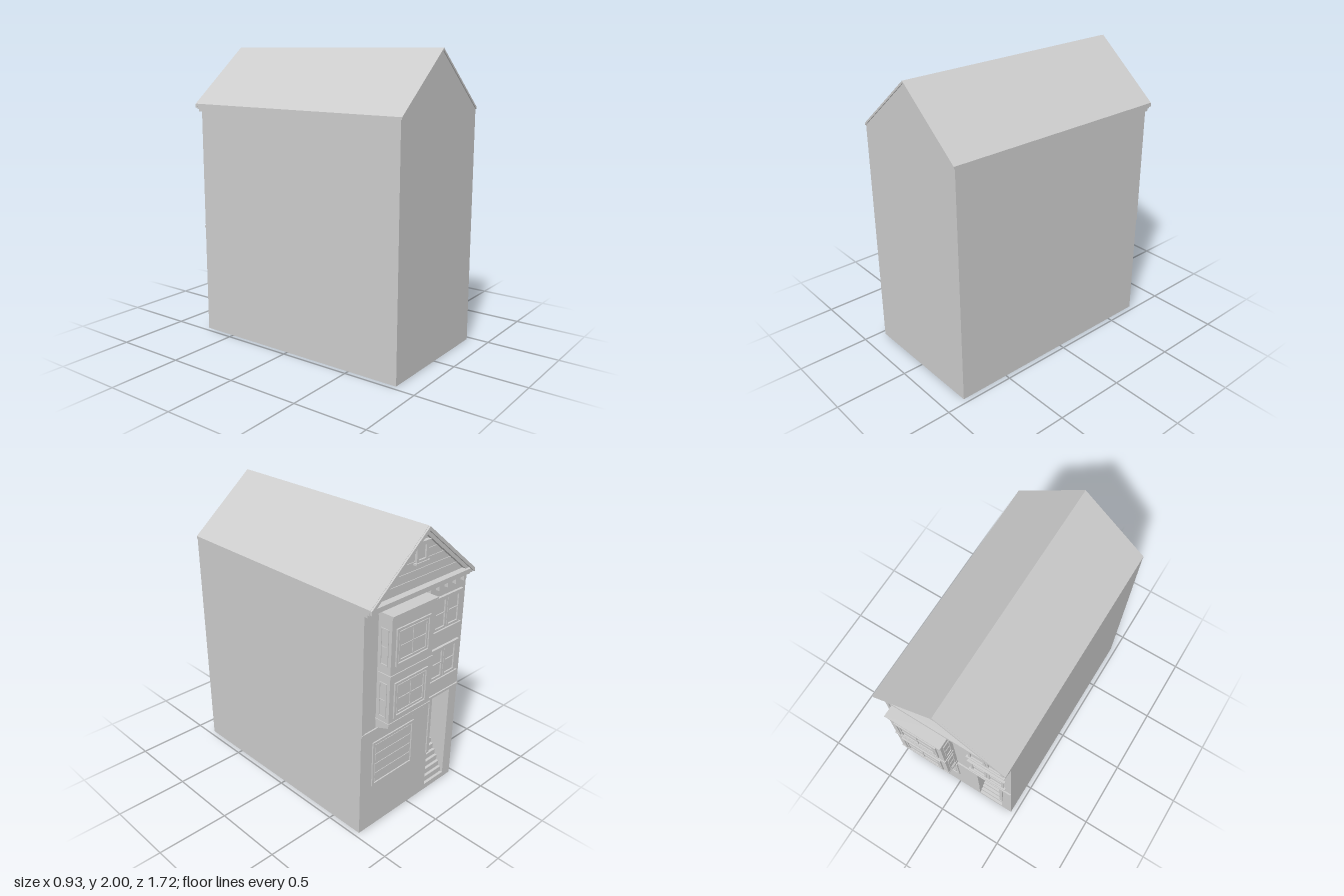
import * as THREE from 'three';

const plaster = new THREE.MeshStandardMaterial({ color: 0xcccccc, side: THREE.DoubleSide });
plaster.name = 'plain grey';

const W = 0.465, WALL = -0.74, FRONT = 0.855;

function add(parent, name, geo) {
  const m = new THREE.Mesh(geo, plaster);
  m.name = name;
  parent.add(m);
  return m;
}

// box from its limits on each axis
function box(parent, name, x0, x1, y0, y1, z0, z1) {
  const m = add(parent, name, new THREE.BoxGeometry(x1 - x0, y1 - y0, z1 - z0));
  m.position.set((x0 + x1) / 2, (y0 + y1) / 2, (z0 + z1) / 2);
  return m;
}

const polygon = pts => new THREE.Shape(pts.map(p => new THREE.Vector2(p[0], p[1])));

// flat outline pulled from z0 to z1
function slab(parent, name, pts, z0, z1) {
  const m = add(parent, name, new THREE.ExtrudeGeometry(polygon(pts), { depth: z1 - z0, bevelEnabled: false }));
  m.position.z = z0;
  return m;
}

// inverted V following the roof pitch; drop lowers it, t is its thickness
const chevron = (drop, t, w = W) => {
  const e = 2 - drop - 0.38 * w / W, p = 2 - drop;
  return [[-w, e], [0, p], [w, e], [w, e - t], [0, p - t], [-w, e - t]];
};

// framed window facing local +z, centred on its origin
function makeWindow(parent, name, w, h, cols, rows, bar, depth) {
  const g = new THREE.Group();
  g.name = name;
  parent.add(g);
  for (const s of [-1, 1]) {
    const x = s * (w - bar) / 2, y = s * (h - bar) / 2;
    box(g, 'frameSide', x - bar / 2, x + bar / 2, -h / 2, h / 2, 0, depth);
    box(g, 'frameRail', -w / 2, w / 2, y - bar / 2, y + bar / 2, 0, depth);
  }
  const b = bar * 0.25;
  for (let i = 1; i < cols; i++) {
    const x = -w / 2 + w * i / cols;
    box(g, 'mullion', x - b, x + b, -h / 2, h / 2, 0, depth * 0.7);
  }
  for (let i = 1; i < rows; i++) {
    const y = -h / 2 + h * i / rows;
    box(g, 'glazingBar', -w / 2, w / 2, y - b, y + b, 0, depth * 0.7);
  }
  return g;
}

function facadeWindow(parent, name, x, y, z, ...rest) {
  const g = makeWindow(parent, name, ...rest);
  g.position.set(x, y, z);
  g.rotation.y = Math.PI;
  return g;
}

function buildShell(root) {
  const gable = [[-W, 0], [W, 0], [W, 1.61], [0, 1.985], [-W, 1.61]];
  add(root, 'plainGableWall', new THREE.ShapeGeometry(polygon(gable))).position.z = FRONT;

  // street wall with the stair opening
  const shape = polygon(gable);
  shape.holes.push(new THREE.Path([[-0.385, 0.04], [-0.385, 0.74], [-0.185, 0.74], [-0.185, 0.04]]
    .map(p => new THREE.Vector2(...p))));
  const geo = new THREE.ShapeGeometry(shape);
  geo.scale(-1, 1, 1);
  const wall = add(root, 'streetWall', geo);
  wall.rotation.y = Math.PI;
  wall.position.z = WALL;

  for (const s of [-1, 1]) {
    const side = add(root, 'sideWall', new THREE.PlaneGeometry(FRONT - WALL, 1.61));
    side.position.set(s * W, 0.805, (FRONT + WALL) / 2);
    side.rotation.y = s * Math.PI / 2;
  }

  // roof and its rake boards
  slab(root, 'roof', chevron(0, 0.016), -0.79, 0.862);
  slab(root, 'rakeBoard', chevron(0.002, 0.026), -0.802, -0.788);
  slab(root, 'rakeMoulding', chevron(0.016, 0.03, 0.455), -0.765, WALL);
}

function buildGable(root) {
  // clapboard lips in the gable
  for (let i = 0; i < 4; i++) {
    const y = 1.665 + i * 0.055, w = 0.45 * (1.955 - y) / 0.37;
    box(root, 'clapboardLip', -w, w, y, y + 0.006, WALL - 0.005, WALL);
  }
  box(root, 'atticPane', -0.05, 0.05, 1.775, 1.885, WALL - 0.006, WALL);
  facadeWindow(root, 'atticWindow', 0, 1.83, WALL, 0.1, 0.12, 1, 1, 0.018, 0.018);
  box(root, 'atticSill', -0.062, 0.062, 1.762, 1.774, WALL - 0.025, WALL);
  box(root, 'atticHeader', -0.062, 0.062, 1.885, 1.9, WALL - 0.025, WALL);

  // cornice with brackets beside the bay
  box(root, 'cornice', -W, W, 1.585, 1.612, -0.785, WALL);
  box(root, 'corniceBed', -W, W, 1.568, 1.585, -0.768, WALL);
  for (let i = 0; i < 5; i++) {
    const x = -0.1 - i * 0.08;
    box(root, 'corniceBracket', x - 0.012, x + 0.012, 1.535, 1.57, -0.766, WALL);
  }
  box(root, 'cornerBoard', 0.44, W, 0.765, 1.57, WALL - 0.006, WALL);
  box(root, 'beltCourse', -W, W, 0.748, 0.765, WALL - 0.01, WALL);
}

function buildBay(root) {
  const g = new THREE.Group();
  g.name = 'bay';
  root.add(g);
  const x0 = -0.035, x1 = 0.34, zf = -0.845, cx = (x0 + x1) / 2;
  box(g, 'bayBody', x0, x1, 0.815, 1.56, zf, WALL);
  box(g, 'bayRoof', x0 - 0.01, x1 + 0.01, 1.556, 1.568, -0.86, WALL);
  box(g, 'bayFrieze', x0 - 0.004, x1 + 0.004, 1.54, 1.556, zf - 0.005, WALL);
  box(g, 'bayBaseBand', x0 - 0.004, x1 + 0.004, 0.828, 0.842, zf - 0.005, WALL);
  box(g, 'bayMiddleBand', x0 - 0.005, x1 + 0.005, 1.155, 1.175, zf - 0.006, -0.752);
  for (const y of [0.992, 1.35]) {
    facadeWindow(g, 'bayFrontWindow', cx, y, zf, 0.3, 0.245, 1, 1, 0.016, 0.01);
    facadeWindow(g, 'bayFrontSash', cx, y, zf, 0.255, 0.2, 2, 2, 0.014, 0.007);
    for (const s of [-1, 1]) {
      const w = makeWindow(g, 'baySideWindow', 0.062, 0.24, 1, 2, 0.008, 0.005);
      w.position.set(s > 0 ? x1 : x0, y, -0.792);
      w.rotation.y = s * Math.PI / 2;
    }
  }
  // tapered corbels carrying the bay
  for (let i = 0; i < 4; i++) {
    const geo = new THREE.ExtrudeGeometry(polygon([[0.74, 0.77], [0.845, 0.81], [0.845, 0.816], [0.74, 0.816]]),
      { depth: 0.04, bevelEnabled: false });
    const c = add(g, 'corbel', geo);
    c.rotation.y = Math.PI / 2;
    c.position.x = x0 + i * (x1 - x0 - 0.04) / 3;
  }
}

function buildSideWindows(root) {
  for (const y of [0.995, 1.355]) {
    box(root, 'windowHeader', -0.425, -0.14, y + 0.108, y + 0.124, WALL - 0.018, WALL);
    box(root, 'windowSill', -0.425, -0.14, y - 0.124, y - 0.108, WALL - 0.02, WALL);
    for (const x of [-0.348, -0.217])
      facadeWindow(root, 'sashWindow', x, y, WALL, 0.127, 0.22, 1, 2, 0.018, 0.01);
  }
}

function buildGroundFloor(root) {
  // garage door: surround and four panels
  facadeWindow(root, 'garageSurround', 0.17, 0.495, WALL, 0.385, 0.335, 1, 1, 0.018, 0.009);
  for (let i = 0; i < 4; i++) {
    const y = 0.352 + i * 0.073;
    box(root, 'garagePanel', 0.005, 0.335, y, y + 0.065, WALL - 0.004, WALL);
  }

  // stair recess
  const a = -0.385, b = -0.185, back = -0.6, t = 0.003;
  for (const x of [a, b]) {
    const cheek = add(root, 'recessCheek', new THREE.ShapeGeometry(
      polygon([[-WALL, 0], [-back, 0.28], [-back, 0.74], [-WALL, 0.74]])));
    cheek.rotation.y = Math.PI / 2;
    cheek.position.x = x;
  }
  box(root, 'recessCeiling', a, b, 0.74, 0.74 + t, WALL, back);
  box(root, 'recessBack', a, b, 0.28, 0.74, back, back + t);
  for (let i = 0; i < 7; i++) {
    const z = WALL + i * 0.02, y = (i + 1) * 0.04;
    box(root, 'stairTread', a, b, y - t, y, z, z + 0.02);
    if (i) box(root, 'stairRiser', a, b, y - 0.04, y, z, z + t);
  }
  facadeWindow(root, 'entryDoor', -0.285, 0.5, back, 0.17, 0.42, 1, 1, 0.024, 0.012);
  facadeWindow(root, 'doorPanel', -0.285, 0.5, back, 0.1, 0.35, 1, 2, 0.012, 0.006);
  for (const x of [a, b])
    box(root, 'entryTrim', x - 0.012, x + 0.012, 0.32, 0.748, WALL - 0.009, WALL + 0.006);
}

export function createModel() {
  const root = new THREE.Group();
  root.name = 'townhouse';
  buildShell(root);
  buildGable(root);
  buildBay(root);
  buildSideWindows(root);
  buildGroundFloor(root);
  return root;
}
